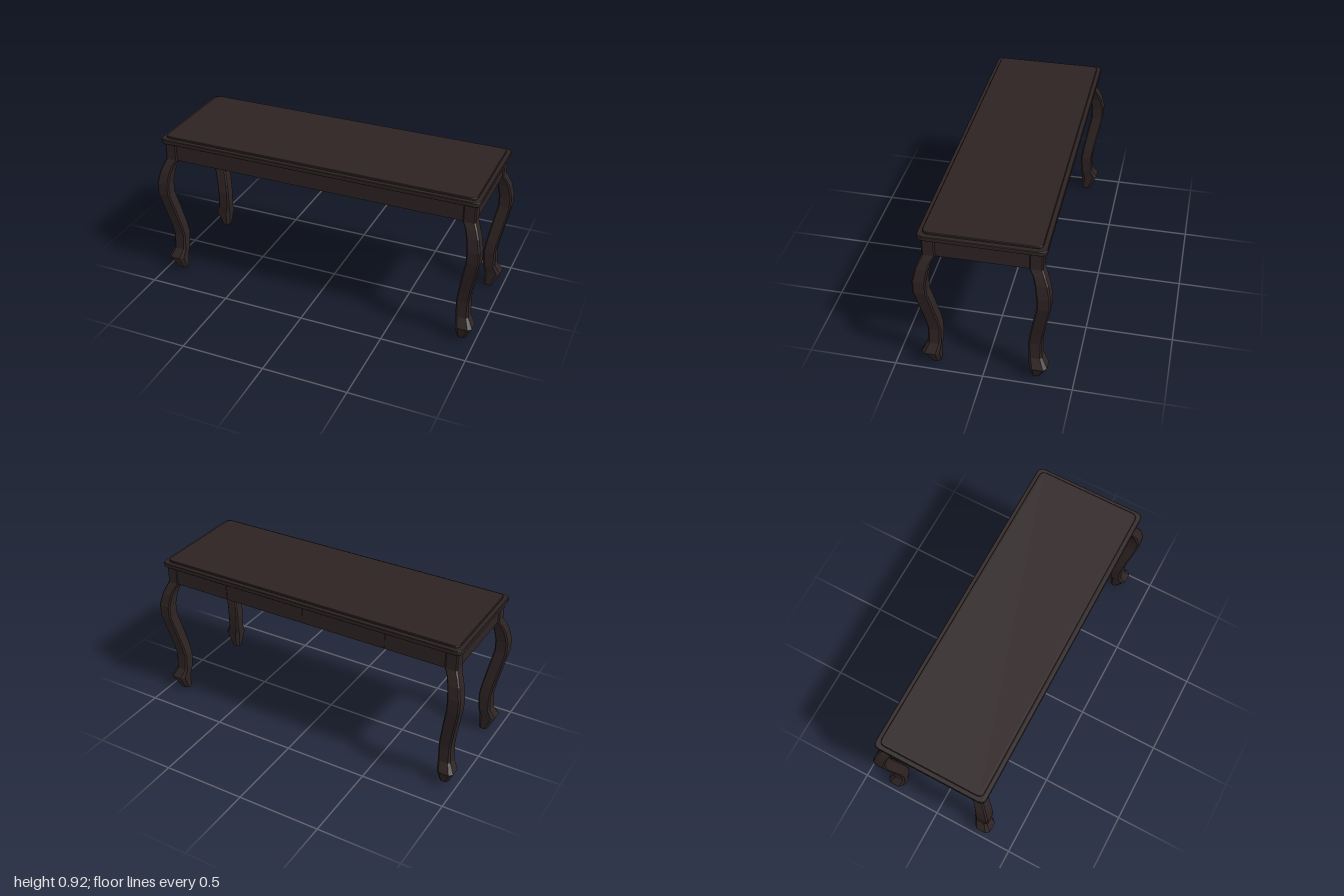
import * as THREE from 'three';

const wood = new THREE.MeshStandardMaterial({ color: 0x2e2323 });
wood.name = 'dark wood';

function addMesh(parent, name, geometry, x = 0, y = 0, z = 0) {
  const mesh = new THREE.Mesh(geometry, wood);
  mesh.name = name;
  mesh.position.set(x, y, z);
  parent.add(mesh);
  return mesh;
}

// Horizontal slab with rounded corners and a small bevel, from y0 to y1
function slab(hx, hz, r, y0, y1, bevel) {
  const x = hx - bevel, z = hz - bevel;
  const s = new THREE.Shape();
  s.moveTo(-x + r, -z);
  s.lineTo(x - r, -z);
  s.quadraticCurveTo(x, -z, x, -z + r);
  s.lineTo(x, z - r);
  s.quadraticCurveTo(x, z, x - r, z);
  s.lineTo(-x + r, z);
  s.quadraticCurveTo(-x, z, -x, z - r);
  s.lineTo(-x, -z + r);
  s.quadraticCurveTo(-x, -z, -x + r, -z);
  const g = new THREE.ExtrudeGeometry(s, {
    depth: y1 - y0 - 2 * bevel, curveSegments: 3,
    bevelEnabled: true, bevelSize: bevel, bevelThickness: bevel, bevelSegments: 1,
  });
  return g.rotateX(-Math.PI / 2).translate(0, y0 + bevel, 0);
}

// Cabriole leg levels: height, inner edge, outer edge, corner chamfer
const LEG = [
  [0, 0.257, 0.309, 0.014], [0.092, 0.252, 0.353, 0.02], [0.148, 0.245, 0.321, 0.012],
  [0.25, 0.243, 0.316, 0.008], [0.315, 0.251, 0.325, 0.008], [0.43, 0.271, 0.347, 0.008],
  [0.547, 0.293, 0.369, 0.008], [0.62, 0.293, 0.369, 0.008], [0.695, 0.281, 0.353, 0.008],
  [0.74, 0.266, 0.335, 0.008], [0.772, 0.246, 0.32, 0.008], [0.885, 0.246, 0.32, 0.008],
];
const LEG_SHIFT = 0.63; // x of a leg edge minus its z

// Chamfered square sections lofted up the leg, mirrored into one corner
function legGeometry(sx, sz) {
  const positions = [], index = [];
  for (const [y, a, b, c] of LEG) {
    const ring = [[a + c, a], [b - c, a], [b, a + c], [b, b - c],
      [b - c, b], [a + c, b], [a, b - c], [a, a + c]];
    for (const [x, z] of ring) positions.push(sx * (x + LEG_SHIFT), y, sz * z);
  }
  const face = (i, j, k) => (sx * sz > 0 ? index.push(i, j, k) : index.push(i, k, j));
  for (let l = 0; l < LEG.length - 1; l++) {
    for (let k = 0; k < 8; k++) {
      const p0 = l * 8 + k, p1 = l * 8 + (k + 1) % 8;
      face(p0, p0 + 8, p1);
      face(p1, p0 + 8, p1 + 8);
    }
  }
  for (let k = 1; k < 7; k++) face(0, k, k + 1); // sole
  const g = new THREE.BufferGeometry();
  g.setAttribute('position', new THREE.Float32BufferAttribute(positions, 3));
  g.setIndex(index);
  const flat = g.toNonIndexed();
  flat.computeVertexNormals();
  return flat;
}

export function createModel() {
  const table = new THREE.Group();
  table.name = 'consoleTable';

  // Stepped top
  addMesh(table, 'topEdge', slab(0.97, 0.34, 0.035, 0.88, 0.907, 0.003));
  addMesh(table, 'topPanel', slab(0.945, 0.315, 0.03, 0.905, 0.92, 0.003));

  // Closed apron under the top
  addMesh(table, 'apron', new THREE.BoxGeometry(1.886, 0.112, 0.626), 0, 0.827, 0);

  // Back drawer fronts between the posts, divided by narrow gaps
  const seams = [-0.88, -0.52, 0, 0.52, 0.88];
  for (let i = 0; i < 4; i++) {
    const width = seams[i + 1] - seams[i] - 0.004;
    addMesh(table, 'drawerFront', new THREE.BoxGeometry(width, 0.109, 0.004),
      (seams[i] + seams[i + 1]) / 2, 0.8265, -0.315);
  }

  // Four curved legs with their corner posts
  for (const sx of [-1, 1]) {
    for (const sz of [-1, 1]) {
      addMesh(table, (sz > 0 ? 'front' : 'back') + (sx > 0 ? 'Left' : 'Right') + 'Leg', legGeometry(sx, sz));
    }
  }
  return table;
}
